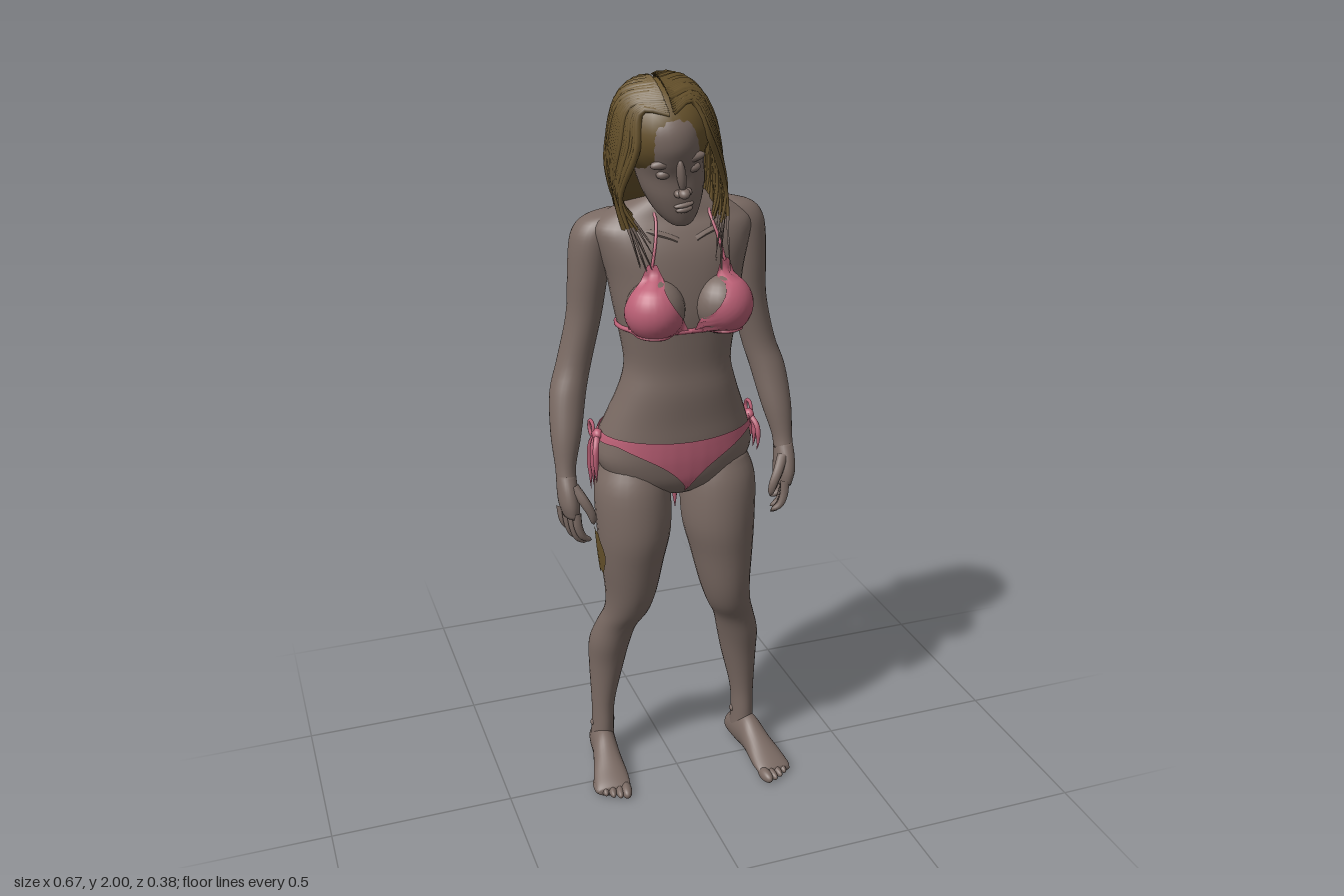
import * as THREE from 'three';

const skin = new THREE.MeshStandardMaterial({ color: 0x7a6a63 });
const pink = new THREE.MeshStandardMaterial({ color: 0xbc6076, side: THREE.DoubleSide });
const hairBrown = new THREE.MeshStandardMaterial({ color: 0x68532c });
skin.name = 'skin'; pink.name = 'pink cloth'; hairBrown.name = 'dark blonde';

const { lerp, smoothstep } = THREE.MathUtils;
const V = (x, y, z) => new THREE.Vector3(x, y, z);

function add(parent, name, geometry, material) {
  const mesh = new THREE.Mesh(geometry, material);
  mesh.name = name;
  parent.add(mesh);
  return mesh;
}

function surface(pos, index) {
  const g = new THREE.BufferGeometry();
  g.setAttribute('position', new THREE.Float32BufferAttribute(pos, 3));
  g.setIndex(index);
  g.computeVertexNormals();
  return g;
}

// Closed smooth loft through elliptical rings [x, y, z, rx, rz], listed upwards or downwards
function loft(rings, power = 2, seg = 28, sub = 4) {
  const up = rings[rings.length - 1][1] > rings[0][1];
  const list = up ? rings : [...rings].reverse();
  const path = new THREE.CatmullRomCurve3(list.map(r => V(r[0], r[1], r[2])), false, 'catmullrom');
  const size = new THREE.CatmullRomCurve3(list.map(r => V(r[3], r[4], 0)), false, 'catmullrom');
  const n = (list.length - 1) * sub, pos = [], index = [];
  const bend = v => Math.sign(v) * Math.abs(v) ** (2 / power);
  for (let i = -1; i <= n + 1; i++) {
    const t = Math.min(Math.max(i / n, 0), 1), c = path.getPoint(t), s = size.getPoint(t);
    const k = i < 0 || i > n ? 0 : 1;
    for (let j = 0; j < seg; j++) {
      const a = j / seg * Math.PI * 2;
      pos.push(c.x + k * s.x * bend(Math.sin(a)), c.y, c.z + k * s.y * bend(Math.cos(a)));
    }
  }
  for (let i = 0; i < n + 2; i++) for (let j = 0; j < seg; j++) {
    const a = i * seg + j, b = i * seg + (j + 1) % seg;
    index.push(a, b, b + seg, a, b + seg, a + seg);
  }
  return surface(pos, index);
}

const ball = (x, y, z, rx, ry, rz) =>
  new THREE.SphereGeometry(1, 24, 16).scale(rx, ry, rz).translate(x, y, z);

// Tube whose radius follows a profile; below height "split" it takes the second material
function taper(pts, r, profile = t => Math.min(1, 2.2 * (1 - t) + 0.06), seg = 14, sides = 6, split = -1) {
  const curve = new THREE.CatmullRomCurve3(pts);
  const g = new THREE.TubeGeometry(curve, seg, r, sides), p = g.attributes.position, v = V(0, 0, 0);
  for (let i = 0; i < p.count; i++) {
    const t = Math.floor(i / (sides + 1)) / seg, c = curve.getPointAt(t);
    v.fromBufferAttribute(p, i).sub(c).multiplyScalar(profile(t)).add(c);
    p.setXYZ(i, v.x, v.y, v.z);
  }
  let k = seg;
  while (k > 0 && curve.getPointAt(k / seg).y < split) k--;
  g.addGroup(0, k * sides * 6, 0);
  g.addGroup(k * sides * 6, (seg - k) * sides * 6, 1);
  if (split < 0) g.clearGroups();
  g.computeVertexNormals();
  return g;
}
const rounded = t => Math.sqrt(Math.max(0, 1 - t ** 6)) * (1 - 0.25 * t);

export function createModel() {
  const model = new THREE.Group();
  model.name = 'standingWoman';
  const body = new THREE.Group();
  body.name = 'body';
  model.add(body);

  // Torso rings: y, half width, front z, back z
  add(body, 'torso', loft([
    [0.9, 0.06, 0.04, -0.08], [0.94, 0.165, 0.08, -0.12], [1.0, 0.212, 0.095, -0.145], [1.06, 0.208, 0.1, -0.155],
    [1.12, 0.188, 0.1, -0.13], [1.2, 0.158, 0.104, -0.1], [1.27, 0.142, 0.1, -0.09], [1.35, 0.152, 0.105, -0.1],
    [1.42, 0.165, 0.11, -0.115], [1.5, 0.178, 0.105, -0.135], [1.57, 0.198, 0.092, -0.145], [1.62, 0.208, 0.07, -0.14],
    [1.65, 0.182, 0.05, -0.125], [1.68, 0.125, 0.04, -0.1], [1.71, 0.06, 0.03, -0.07],
  ].map(([y, w, f, b]) => [0, y, (f + b) / 2, w, (f - b) / 2]), 2.2, 40), skin);
  add(body, 'neck', loft([[-0.005, 1.62, -0.02, 0.074, 0.076], [-0.015, 1.69, 0.01, 0.055, 0.06],
    [-0.035, 1.8, 0.04, 0.056, 0.06]]), skin);

  // Legs: the right one stands further back and closer in
  const legRings = [
    [0.115, 1.0, -0.015, 0.08, 0.08], [0.12, 0.92, -0.01, 0.102, 0.105], [0.12, 0.8, -0.002, 0.1, 0.108],
    [0.13, 0.7, 0, 0.086, 0.097], [0.14, 0.6, 0.002, 0.071, 0.083], [0.155, 0.53, -0.002, 0.062, 0.068],
    [0.18, 0.47, -0.025, 0.057, 0.062], [0.2, 0.4, -0.045, 0.058, 0.065], [0.21, 0.32, -0.055, 0.05, 0.058],
    [0.222, 0.2, -0.055, 0.034, 0.043], [0.225, 0.12, -0.055, 0.031, 0.042], [0.227, 0.05, -0.06, 0.035, 0.046]];
  const footRings = [[-0.062, -0.03, 0.012, 0.016], [-0.05, -0.036, 0.03, 0.034], [0, -0.05, 0.036, 0.055],
    [0.05, -0.052, 0.036, 0.056], [0.1, -0.04, 0.041, 0.042], [0.15, -0.027, 0.049, 0.029],
    [0.19, -0.018, 0.05, 0.019], [0.21, -0.012, 0.046, 0.012]];
  for (const s of [1, -1]) {
    const side = s > 0 ? 'left' : 'right';
    const rings = legRings.map(([x, y, z, rx, rz]) => {
      const k = s > 0 ? 0 : 1 - smoothstep(y, 0.3, 0.85);
      return [s * (x - 0.037 * k), y, z - 0.058 * k - (s < 0 ? 0.008 : 0), rx, rz];
    });
    add(body, side + 'Leg', loft(rings), skin);
    add(body, side + 'Buttock', ball(s * 0.1, 0.985, -0.085, 0.103, 0.11, 0.088), skin);
    add(body, side + 'Breast', ball(s * 0.088, 1.435, 0.09, 0.075, 0.078, 0.076), skin);
    add(body, side + 'AnkleBone', ball(rings[10][0], 0.115, rings[10][2] - 0.005, 0.037, 0.018, 0.018), skin);

    // Foot with five toes, sole flattened on the ground
    const foot = new THREE.Group(), ankle = rings[rings.length - 1];
    foot.name = side + 'Foot';
    foot.position.set(ankle[0], 0, ankle[2]);
    foot.rotation.y = s * 0.13;
    const parts = [add(foot, 'sole', loft(footRings.map(r => [0, ...r])).rotateX(Math.PI / 2), skin)];
    for (let i = 0; i < 5; i++) parts.push(add(foot, 'toe', ball(s * (-0.035 + i * 0.0195), 0.012,
      0.209 - i * i * 0.0022, i ? 0.0115 : 0.016, i ? 0.014 : 0.018, 0.034), skin));
    for (const m of parts) {
      const p = m.geometry.attributes.position;
      for (let i = 0; i < p.count; i++) p.setY(i, Math.max(0, p.getY(i)));
      m.geometry.computeVertexNormals();
    }
    model.add(foot);

    // Arm and half-curled hand; the right shoulder hangs a little lower
    const arm = new THREE.Group();
    arm.name = side + 'Arm';
    arm.position.set(0, s > 0 ? 0 : -0.014, s > 0 ? 0 : -0.018);
    const m = a => a.map(([x, ...r]) => [s * x, ...r]);
    add(arm, 'arm', loft(m([[0.145, 1.672, -0.05, 0.02, 0.025], [0.17, 1.655, -0.052, 0.05, 0.047],
      [0.192, 1.625, -0.055, 0.056, 0.06], [0.205, 1.58, -0.058, 0.054, 0.063], [0.213, 1.5, -0.06, 0.051, 0.058],
      [0.224, 1.4, -0.064, 0.046, 0.05], [0.252, 1.28, -0.066, 0.046, 0.048], [0.276, 1.2, -0.05, 0.048, 0.048],
      [0.292, 1.1, -0.02, 0.041, 0.042], [0.302, 1.02, 0.002, 0.028, 0.031], [0.304, 0.98, 0.012, 0.026, 0.031]])), skin);
    add(arm, 'palm', loft(m([[0.304, 1.0, 0.008, 0.025, 0.028], [0.304, 0.96, 0.018, 0.027, 0.04],
      [0.302, 0.92, 0.025, 0.027, 0.045], [0.298, 0.885, 0.026, 0.021, 0.042]])), skin);
    for (let i = 0; i < 4; i++) {
      const z = 0.058 - i * 0.022, len = [0.06, 0.075, 0.07, 0.05][i], x = 0.288 + i * 0.008;
      add(arm, 'finger', taper([V(s * (x + 0.004), 0.9, z), V(s * x, 0.875 - len * 0.3, z + 0.004),
        V(s * (x - 0.012), 0.875 - len * 0.75, z + 0.004), V(s * (x - 0.036), 0.875 - len, z)], 0.013, rounded, 14, 8), skin);
    }
    add(arm, 'thumb', taper([V(s * 0.292, 0.965, 0.038), V(s * 0.27, 0.93, 0.06), V(s * 0.253, 0.895, 0.067),
      V(s * 0.247, 0.862, 0.065)], 0.0155, rounded, 14, 8), skin);
    model.add(arm);
  }

  // Cloth is laid on the body by casting rays inwards to a vertical axis
  model.updateMatrixWorld(true);
  const ray = new THREE.Raycaster();
  const wrap = (y, a, off = 0.006, cx = 0, cz = -0.02) => {
    const d = V(Math.sin(a), 0, Math.cos(a)), o = V(cx, y, cz);
    ray.set(o.clone().add(d), d.clone().negate());
    const hit = ray.intersectObjects(body.children, false)[0];
    return (hit ? hit.point : o).clone().addScaledVector(d, off);
  };
  const patch = (a0, a1, lo, hi, na, ny, cx, cz) => {
    const pos = [], index = [], w = ny + 1;
    for (let i = 0; i <= na; i++) for (let j = 0; j <= ny; j++) {
      const v = j / ny, a = lerp(a0(v), a1(v), i / na);
      pos.push(...wrap(lerp(lo(a), hi(a), v), a, 0.006, cx, cz).toArray());
      if (i < na && j < ny) {
        const k = i * w + j;
        index.push(k, k + w, k + w + 1, k, k + w + 1, k + 1);
      }
    }
    return surface(pos, index);
  };
  const even = () => 1;

  // Collarbones, just breaking the surface
  for (const s of [1, -1]) add(model, 'collarbone',
    taper([0.25, 0.5, 0.8, 1.1].map((a, i) => wrap(1.6 + i * 0.01, s * a, -0.007)), 0.01), skin);

  // Swim top: two cups, band, neck straps and back tie
  const top = new THREE.Group();
  top.name = 'swimTop';
  for (const s of [1, -1]) {
    const inner = v => lerp(0.03, 0.64, v), outer = v => lerp(1.1, 0.78, v ** 1.4);
    add(top, 'cup', patch(s > 0 ? inner : v => -outer(v), s > 0 ? outer : v => -inner(v), () => 1.37, () => 1.55, 18, 14), pink);
    add(top, 'neckStrap', taper([wrap(1.545, s * 0.71), wrap(1.6, s * 0.7), wrap(1.65, s * 0.8), V(s * 0.07, 1.7, -0.02),
      V(s * 0.03, 1.71, -0.07), V(0, 1.7, -0.085)], 0.004, even, 20), pink);
    add(top, 'tieEnd', taper([V(0, 1.385, -0.112), V(s * 0.025, 1.35, -0.122), V(s * 0.014, 1.29, -0.108), V(s * 0.022, 1.23, -0.108)], 0.006), pink);
    add(top, 'tieLoop', new THREE.TorusGeometry(0.016, 0.004, 6, 16).scale(1.2, 0.7, 1).translate(s * 0.02, 1.385, -0.118), pink);
  }
  add(top, 'band', taper(Array.from({ length: 41 }, (_, i) => wrap(1.376, i / 40 * Math.PI * 2, 0.002)), 0.0065, even, 90), pink);
  model.add(top);

  // Swim bottoms with ragged, dripping edge and side ties
  const bottoms = new THREE.Group();
  bottoms.name = 'swimBottoms';
  const low = a => {
    const c = Math.abs(a);
    if (c < 1.2) return 0.915 + 0.147 * (c / 1.2) ** 0.65;
    return 1.062 - 0.125 * smoothstep(c, 1.9, 2.75) + 0.016 * Math.sin(a * 13) * smoothstep(c, 2, 2.4);
  };
  add(bottoms, 'briefs', patch(() => -Math.PI, () => Math.PI, low, a => 1.087 - 0.014 * Math.cos(a), 96, 14), pink);
  for (const [x, y, r] of [[-0.14, 0.95, 0.011], [-0.08, 0.9, 0.012], [-0.045, 0.85, 0.015], [0, 0.88, 0.012],
    [0.045, 0.77, 0.016], [0.085, 0.89, 0.013], [0.125, 0.9, 0.012]]) {
    const p = wrap(0.99, Math.atan2(x, -0.14), 0.001);
    add(bottoms, 'drip', taper([p, V(p.x, Math.max(0.94, y + 0.01), p.z + 0.006), V(x, lerp(0.95, y, 0.6), -0.148), V(x, y, -0.142)], r), pink);
  }
  for (const s of [1, -1]) {
    add(bottoms, 'sideKnot', ball(s * 0.213, 1.075, -0.02, 0.014, 0.016, 0.018), pink);
    for (let i = 0; i < 3; i++) add(bottoms, 'sideTie', taper([V(s * 0.212, 1.08, -0.02), V(s * 0.226, 1.05, -0.035 + i * 0.022),
      V(s * 0.228, 1.0, -0.045 + i * 0.03), V(s * 0.226, s > 0 ? 0.98 : 0.91 + i * 0.02, -0.045 + i * 0.028)], 0.008), pink);
    add(bottoms, 'sideLoop', new THREE.TorusGeometry(0.02, 0.005, 6, 16).rotateY(Math.PI / 2).translate(s * 0.222, 1.085, -0.045), pink);
  }
  model.add(bottoms);

  // Dark smear on the outer right thigh
  const bow = a => 0.068 * Math.sqrt(Math.max(0, 1 - ((a + 1.7) / 0.6) ** 2)) + 0.006 * Math.sin(a * 17);
  add(model, 'thighSmear', patch(() => -2.3, () => -1.1, a => 0.735 - bow(a), a => 0.735 + bow(a), 16, 6, -0.12, -0.02), hairBrown);

  // Head, bowed and tilted; rings: y, half width, front z, back z
  const head = new THREE.Group();
  head.name = 'head';
  head.position.set(-0.05, 1.823, 0.073);
  head.rotation.set(0.3, 0, 0.18);
  add(head, 'face', loft([[-0.156, 0.02, 0.092, 0.03], [-0.147, 0.038, 0.106, 0], [-0.118, 0.06, 0.11, -0.04],
    [-0.07, 0.078, 0.108, -0.075], [-0.02, 0.085, 0.1, -0.1], [0.02, 0.089, 0.105, -0.115], [0.06, 0.091, 0.107, -0.12],
    [0.1, 0.082, 0.092, -0.105], [0.13, 0.058, 0.06, -0.075], [0.146, 0.02, 0.015, -0.03],
  ].map(([y, w, f, b]) => [0, y, (f + b) / 2, w, (f - b) / 2])), skin);
  add(head, 'noseBridge', ball(0, -0.02, 0.104, 0.011, 0.042, 0.016).rotateX(-0.1), skin);
  add(head, 'noseTip', ball(0, -0.052, 0.117, 0.014, 0.012, 0.017), skin);
  add(head, 'upperLip', ball(0, -0.089, 0.106, 0.025, 0.007, 0.01), skin);
  add(head, 'lowerLip', ball(0, -0.101, 0.107, 0.021, 0.008, 0.01), skin);
  for (const s of [1, -1]) {
    add(head, 'nostril', ball(s * 0.013, -0.055, 0.108, 0.009, 0.009, 0.012), skin);
    add(head, 'eyelid', ball(s * 0.036, -0.008, 0.083, 0.019, 0.012, 0.014), skin);
    add(head, 'brow', ball(s * 0.036, 0.02, 0.084, 0.032, 0.012, 0.014), skin);
  }
  add(head, 'hairCap', ball(0, 0.05, -0.025, 0.113, 0.115, 0.126), hairBrown);
  model.add(head);
  head.updateMatrixWorld(true);

  // Long hair: a soft mass down the back, covered by locks from a centre parting with wet, bare-coloured tips
  const hair = new THREE.Group();
  hair.name = 'hair';
  add(hair, 'hairMass', loft([[-0.075, 1.9, 0.015, 0.1, 0.085], [-0.06, 1.8, -0.01, 0.122, 0.085],
    [-0.035, 1.72, -0.045, 0.128, 0.068], [-0.02, 1.66, -0.09, 0.112, 0.052], [-0.015, 1.6, -0.125, 0.09, 0.036],
    [-0.015, 1.56, -0.14, 0.06, 0.02]]), hairBrown);
  let seed = 7;
  const rnd = () => (seed = (seed * 16807) % 2147483647) / 2147483647;
  const onCap = (s, az, th, k) => V(s * k * 0.113 * Math.sin(az) * Math.sin(th), 0.05 + k * 0.115 * Math.cos(th),
    -0.025 + k * 0.126 * Math.cos(az) * Math.sin(th)).applyMatrix4(head.matrixWorld);
  const count = 34;
  for (const s of [1, -1]) for (let i = 0; i < count; i++) {
    const f = i / (count - 1), front = f < 0.2, az = lerp(0.85, 3.05, f), b = lerp(0.8, -0.7, f);
    const part = V(s * 0.004, 0.05 + 0.116 * Math.cos(b), -0.025 + 0.127 * Math.sin(b)).applyMatrix4(head.matrixWorld);
    const k = 1.02 + rnd() * 0.04, back = smoothstep(f, 0, 0.75);
    const endX = (s > 0 ? lerp(0.075, 0.0, f) : lerp(-0.115, -0.03, f)) + (rnd() - 0.5) * 0.06;
    const midX = s > 0 ? lerp(0.098, 0.01, f * f) : lerp(-0.172, -0.05, f * f);
    const endY = front ? 1.5 + rnd() * 0.08 : 1.47 + rnd() * 0.15;
    add(hair, 'lock', taper([part, onCap(s, az, 0.75, k), onCap(s, az, 1.5, k),
      V(midX, 1.71 + rnd() * 0.02, lerp(0.085, -0.125, back)),
      V(lerp(midX, endX, 0.6), lerp(1.7, endY, 0.55), lerp(0.1, -0.168, back)),
      V(endX, endY, lerp(0.112, -0.165, back) + (rnd() - 0.5) * 0.02)], front ? 0.0085 : 0.0135,
    t => Math.min(1, 0.6 + t * 2, 1.7 * (1 - t) + 0.08), 24, 6, front ? 1.64 : 1.54), [hairBrown, skin]);
  }
  model.add(hair);
  return model;
}
